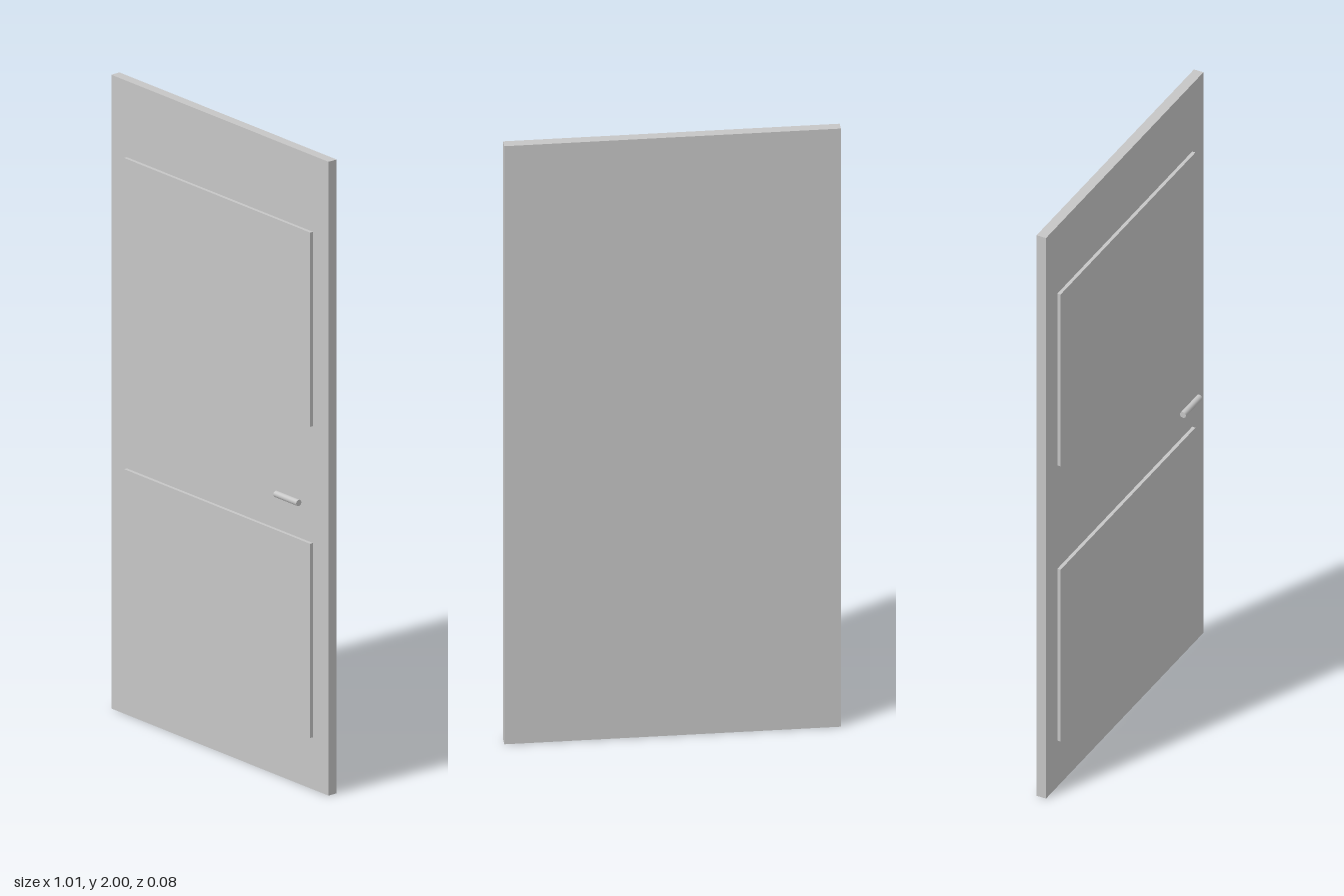
import * as THREE from 'three';

export function createModel() {
  const door = new THREE.Group();
  door.name = 'door';

  const paint = new THREE.MeshStandardMaterial({ color: 0xc6c6c6 });
  paint.name = 'light grey';

  const add = (name, geometry, x, y, z) => {
    const mesh = new THREE.Mesh(geometry, paint);
    mesh.name = name;
    mesh.position.set(x, y, z);
    door.add(mesh);
  };

  // Plain slab, flat at the back
  add('slab', new THREE.BoxGeometry(1.007, 2, 0.032), 0, 1, -0.023);

  // Two raised panels on the front
  for (const [name, y] of [['lowerPanel', 0.471], ['upperPanel', 1.453]]) {
    add(name, new THREE.BoxGeometry(0.863, 0.613, 0.011), 0, y, -0.0015);
  }

  // Round lever lying across the front, clear of the slab
  const handle = new THREE.CylinderGeometry(0.01, 0.01, 0.106, 24).rotateZ(Math.PI / 2);
  add('handle', handle, 0.356, 0.906, 0.029);

  return door;
}
